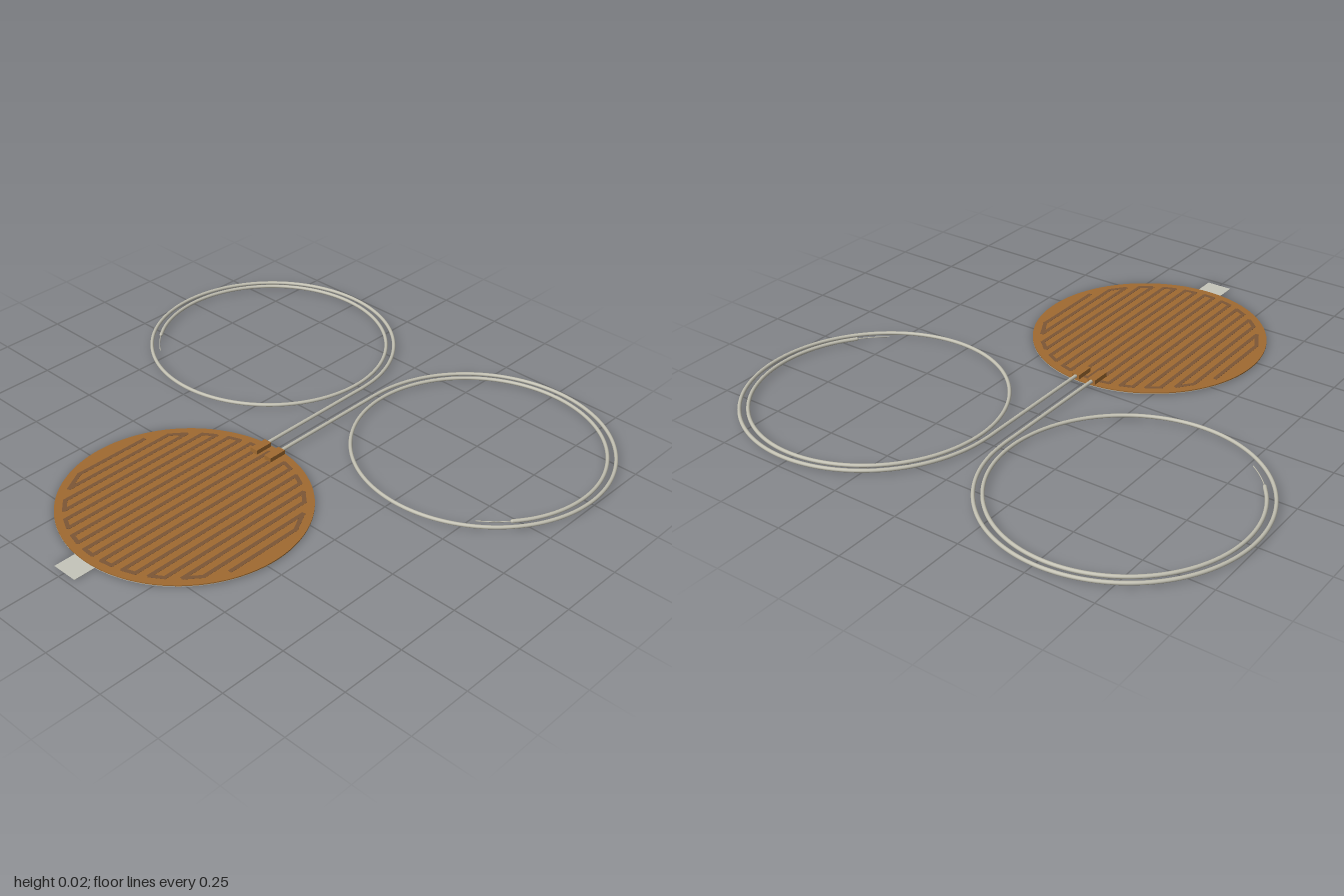
import * as THREE from 'three';

const mat = (name, color) => {
  const m = new THREE.MeshStandardMaterial({ color });
  m.name = name;
  return m;
};

export function createModel() {
  const film = mat('amber film', 0xa06a30);
  const trace = mat('dark trace', 0x7c5636);
  const grey = mat('pale grey backing', 0xc4c4ba);
  const wireGrey = mat('wire sleeve grey', 0xc0beb0);

  const model = new THREE.Group();
  model.name = 'heaterPad';
  const add = (name, geo, material, x = 0, y = 0, z = 0, parent = model) => {
    const m = new THREE.Mesh(geo, material);
    m.name = name;
    m.position.set(x, y, z);
    parent.add(m);
    return m;
  };

  // Round pad: grey adhesive backing with pull tab, amber film on top
  const padX = -0.455, padR = 0.44;
  add('backing', new THREE.CylinderGeometry(padR, padR, 0.002, 96), grey, padX, 0.001);
  add('film', new THREE.CylinderGeometry(padR, padR, 0.004, 96), film, padX, 0.004);
  add('pullTab', new THREE.BoxGeometry(0.12, 0.0016, 0.1), grey, -0.916, 0.0008);

  // Serpentine heating trace: rows clipped to a circle, joined at alternate ends
  const traces = new THREE.Group();
  traces.name = 'heatingTrace';
  model.add(traces);
  const bar = (x1, z1, x2, z2) => {
    const dx = x2 - x1, dz = z2 - z1;
    const m = add('traceBar', new THREE.BoxGeometry(Math.hypot(dx, dz) + 0.008, 0.001, 0.015), trace,
      padX + (x1 + x2) / 2, 0.0062, (z1 + z2) / 2, traces);
    m.rotation.y = -Math.atan2(dz, dx);
  };
  const rows = 19, pitch = 0.0418, traceR = 0.405;
  const rowZ = i => (i - (rows - 1) / 2) * pitch;
  const rowEnd = i => Math.sqrt(traceR ** 2 - rowZ(i) ** 2);
  for (let i = 0; i < rows; i++) {
    bar(-rowEnd(i), rowZ(i), rowEnd(i), rowZ(i));
    if (i < rows - 1) {
      const s = i % 2 ? 1 : -1;
      bar(s * rowEnd(i), rowZ(i), s * rowEnd(i + 1), rowZ(i + 1));
    }
  }

  // Two lead wires, each running straight and then coiling inwards
  const coilX = 0.4895, coilZ = 0.521, r0 = 0.487, wireY = 0.0155;
  const coil = (deg, side) => {
    const a = THREE.MathUtils.degToRad(deg), r = r0 - 0.03 * deg / 360;
    return new THREE.Vector3(coilX + r * Math.sin(a), wireY, side * (coilZ - r * Math.cos(a)));
  };
  for (const side of [-1, 1]) {
    const lead = new THREE.Group();
    lead.name = side > 0 ? 'frontLead' : 'backLead';
    model.add(lead);

    const pts = [];
    for (let i = 0; i < 8; i++) {
      pts.push(new THREE.Vector3(-0.03 + (coilX + 0.03) * i / 8, wireY, side * (coilZ - r0)));
    }
    for (let d = 0; d <= 578; d += 8.5) pts.push(coil(d, side));
    add('wire', new THREE.TubeGeometry(new THREE.CatmullRomCurve3(pts), 300, 0.0068, 12), wireGrey, 0, 0, 0, lead);
    const end = pts[pts.length - 1];
    add('wireEnd', new THREE.SphereGeometry(0.0068, 12, 8), wireGrey, end.x, end.y, end.z, lead);

    // Thin bare tail at the end of the coil
    const tail = [];
    for (let d = 576; d <= 594; d += 3) tail.push(coil(d, side));
    add('wireTail', new THREE.TubeGeometry(new THREE.CatmullRomCurve3(tail), 12, 0.002, 6), wireGrey, 0, 0, 0, lead);

    // Solder terminal block on the film
    add('terminal', new THREE.BoxGeometry(0.072, 0.017, 0.031), film, -0.056, 0.0145, side * 0.034, lead);
  }
  return model;
}
